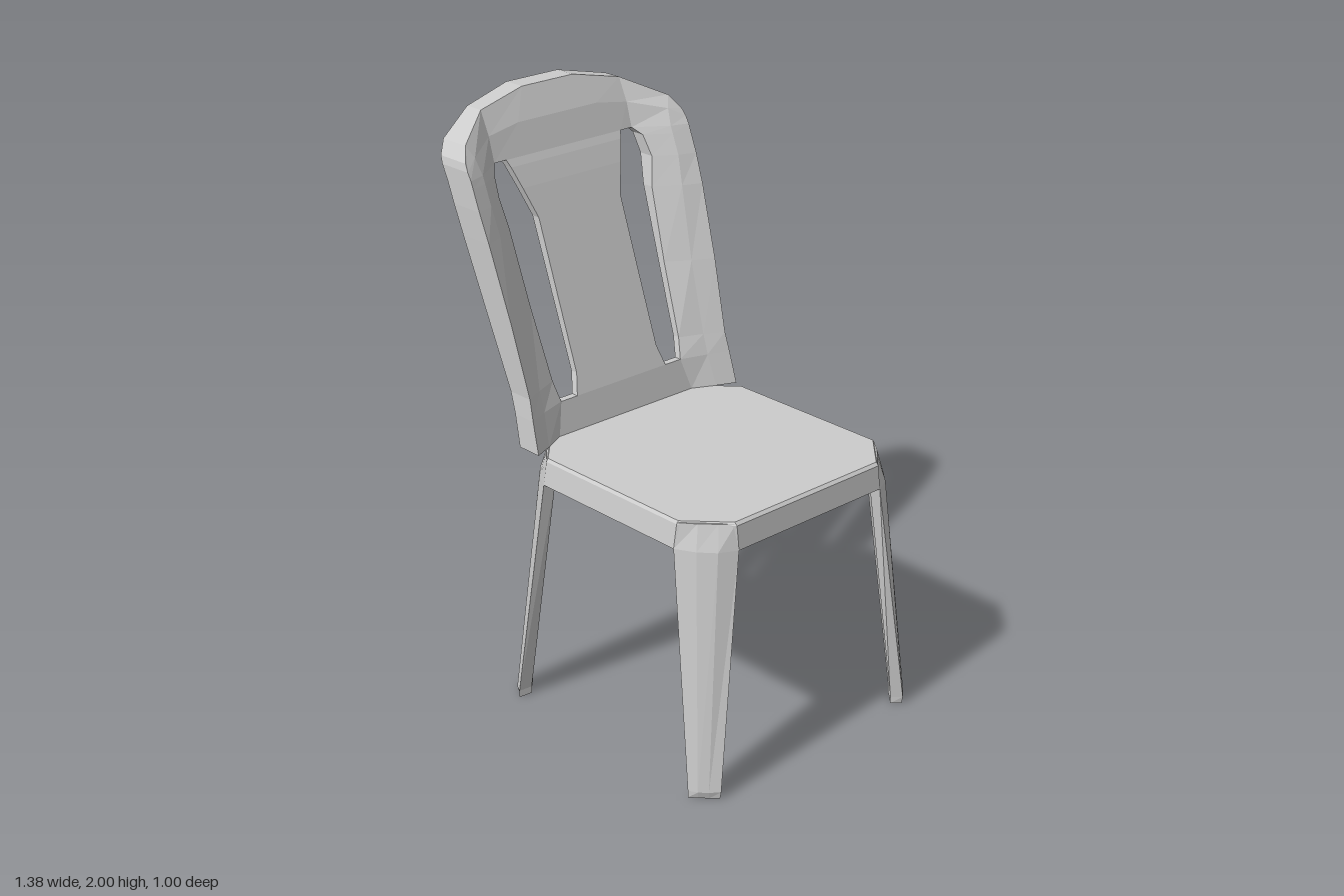
import * as THREE from 'three';

const material = new THREE.MeshStandardMaterial({ color: 0xcccccc, flatShading: true });
const SEAT_X = 0.19; // middle of the seat; legs mirror about it

// Mesh from a list of four-cornered faces (counter-clockwise from outside)
function quadMesh(name, quads) {
  const pos = [];
  for (const [a, b, c, d] of quads) for (const p of [a, b, c, a, c, d]) pos.push(...p);
  const g = new THREE.BufferGeometry();
  g.setAttribute('position', new THREE.Float32BufferAttribute(pos, 3));
  g.computeVertexNormals();
  const mesh = new THREE.Mesh(g, material);
  mesh.name = name;
  return mesh;
}

// Solid through stacked outlines [y, [[x, z], ...]], each running from +x towards +z
function stack(name, layers) {
  const rings = layers.map(([y, pts]) => pts.map(([x, z]) => [x, y, z]));
  const n = rings[0].length, quads = [];
  for (let k = 0; k < rings.length - 1; k++)
    for (let i = 0; i < n; i++) {
      const j = (i + 1) % n;
      quads.push([rings[k][j], rings[k][i], rings[k + 1][i], rings[k + 1][j]]);
    }
  const low = rings[0], top = rings[rings.length - 1];
  const mid = (r) => [0, 1, 2].map((a) => r.reduce((s, p) => s + p[a], 0) / n);
  const cl = mid(low), ct = mid(top);
  for (let i = 0; i < n; i++) {
    const j = (i + 1) % n;
    quads.push([cl, low[i], low[j], low[j]], [ct, top[j], top[i], top[i]]);
  }
  return quadMesh(name, quads);
}

// Piecewise linear curve through [t, value] points
function lerpCurve(pts) {
  return (t) => {
    let i = 1;
    while (i < pts.length - 1 && t > pts[i][0]) i++;
    const [t0, v0] = pts[i - 1], [t1, v1] = pts[i];
    return v0 + (v1 - v0) * THREE.MathUtils.clamp((t - t0) / (t1 - t0), 0, 1);
  };
}

// Octagonal seat outline
function octagon(hx, hz, cx, cz) {
  const q = [[hx, cz], [cx, hz]];
  const pts = [...q, ...q.map(([x, z]) => [-x, z]).reverse(),
    ...q.map(([x, z]) => [-x, -z]), ...q.map(([x, z]) => [x, -z]).reverse()];
  return pts.map(([x, z]) => [SEAT_X + x, z]);
}

function makeLeg(name, sx, sz) {
  // Thin tapering slab set across the corner, its outer face slightly bowed
  const layers = [
    [0, [[0.685, 0.43], [0.66, 0.455], [0.635, 0.48], [0.61, 0.5], [0.605, 0.45], [0.635, 0.425], [0.66, 0.4]]],
    [0.025, [[0.69, 0.43], [0.665, 0.46], [0.64, 0.485], [0.61, 0.5], [0.605, 0.45], [0.635, 0.425], [0.66, 0.4]]],
    [0.83, [[0.645, 0.32], [0.615, 0.38], [0.565, 0.425], [0.5, 0.46], [0.49, 0.42], [0.55, 0.37], [0.6, 0.32]]],
    [0.915, [[0.63, 0.32], [0.595, 0.36], [0.55, 0.405], [0.5, 0.445], [0.49, 0.42], [0.55, 0.37], [0.6, 0.32]]],
  ];
  return stack(name, layers.map(([y, pts]) => {
    const out = pts.map(([x, z]) => [SEAT_X + sx * (x - SEAT_X), sz * z]);
    return [y, sx * sz < 0 ? out.reverse() : out];
  }));
}

function makeBackrest() {
  const backX = lerpCurve([[0.92, -0.25], [1.0, -0.265], [1.42, -0.42], [1.75, -0.54], [1.89, -0.61], [2, -0.69]]);
  const wingX = lerpCurve([[0.92, -0.155], [1.45, -0.3], [1.65, -0.37], [1.8, -0.43], [1.87, -0.475], [2, -0.61]]);
  const thick = lerpCurve([[0.92, 0.025], [1.8, 0.035], [2, 0.08]]);
  // Half rows [z, y] from the middle out: middle, slot inner, slot outer, wing, edge
  const level = (y, ...z) => z.map((v) => [v, y]);
  const half = [
    level(0.92, 0, 0.2, 0.3, 0.38, 0.45),
    level(1.03, 0, 0.2, 0.27, 0.37, 0.445),
    level(1.1, 0, 0.18, 0.285, 0.37, 0.44),
    level(1.35, 0, 0.18, 0.3, 0.38, 0.455),
    level(1.6, 0, 0.18, 0.315, 0.4, 0.47),
    level(1.7, 0, 0.215, 0.335, 0.41, 0.475),
    level(1.77, 0, 0.24, 0.325, 0.41, 0.475),
    level(1.795, 0, 0.25, 0.3, 0.41, 0.475),
    [[0, 1.9], [0.17, 1.9], [0.3, 1.88], [0.42, 1.85], [0.475, 1.82]],
    [[0, 2], [0.11, 2], [0.3, 1.96], [0.44, 1.89], [0.47, 1.845]],
  ];
  const rows = half.map((r) => [...r.slice(1).reverse().map(([z, y]) => [-z, y]), ...r]);
  const front = rows.map((r) => r.map(([z, y]) => {
    const w = THREE.MathUtils.clamp((Math.abs(z) - 0.3) / 0.14, 0, 1);
    return [THREE.MathUtils.lerp(backX(y) + thick(y), Math.max(wingX(y), backX(y) + thick(y)), w), y, z];
  }));
  const back = rows.map((r) => r.map(([z, y]) => [backX(y), y, z]));
  // Cells left out form the two slots
  const solid = (i, j) => i >= 0 && i < 8 && j >= 0 && j < rows.length - 1 &&
    !((i === 2 || i === 5) && j >= 1 && j <= 6);
  const quads = [];
  for (let j = 0; j < rows.length - 1; j++)
    for (let i = 0; i < 8; i++) {
      if (!solid(i, j)) continue;
      const c = [[i + 1, j], [i, j], [i, j + 1], [i + 1, j + 1]];
      const F = c.map(([a, b]) => front[b][a]), B = c.map(([a, b]) => back[b][a]);
      quads.push(F, [...B].reverse());
      // Rim and slot walls wherever the neighbouring cell is open
      [[0, -1], [-1, 0], [0, 1], [1, 0]].forEach(([di, dj], k) => {
        const m = (k + 1) % 4;
        if (!solid(i + di, j + dj)) quads.push([F[m], F[k], B[k], B[m]]);
      });
    }
  return quadMesh('backrest', quads);
}

export function createModel() {
  const chair = new THREE.Group();
  chair.name = 'chair';
  // Seat slab, slightly narrower at the top
  chair.add(stack('seat', [
    [0.83, octagon(0.455, 0.46, 0.31, 0.32)],
    [0.91, octagon(0.445, 0.447, 0.31, 0.32)],
    [0.92, octagon(0.435, 0.44, 0.31, 0.32)],
  ]));
  for (const sx of [1, -1])
    for (const sz of [1, -1])
      chair.add(makeLeg((sx > 0 ? 'front' : 'rear') + (sz > 0 ? 'LegA' : 'LegB'), sx, sz));
  chair.add(makeBackrest());
  return chair;
}
